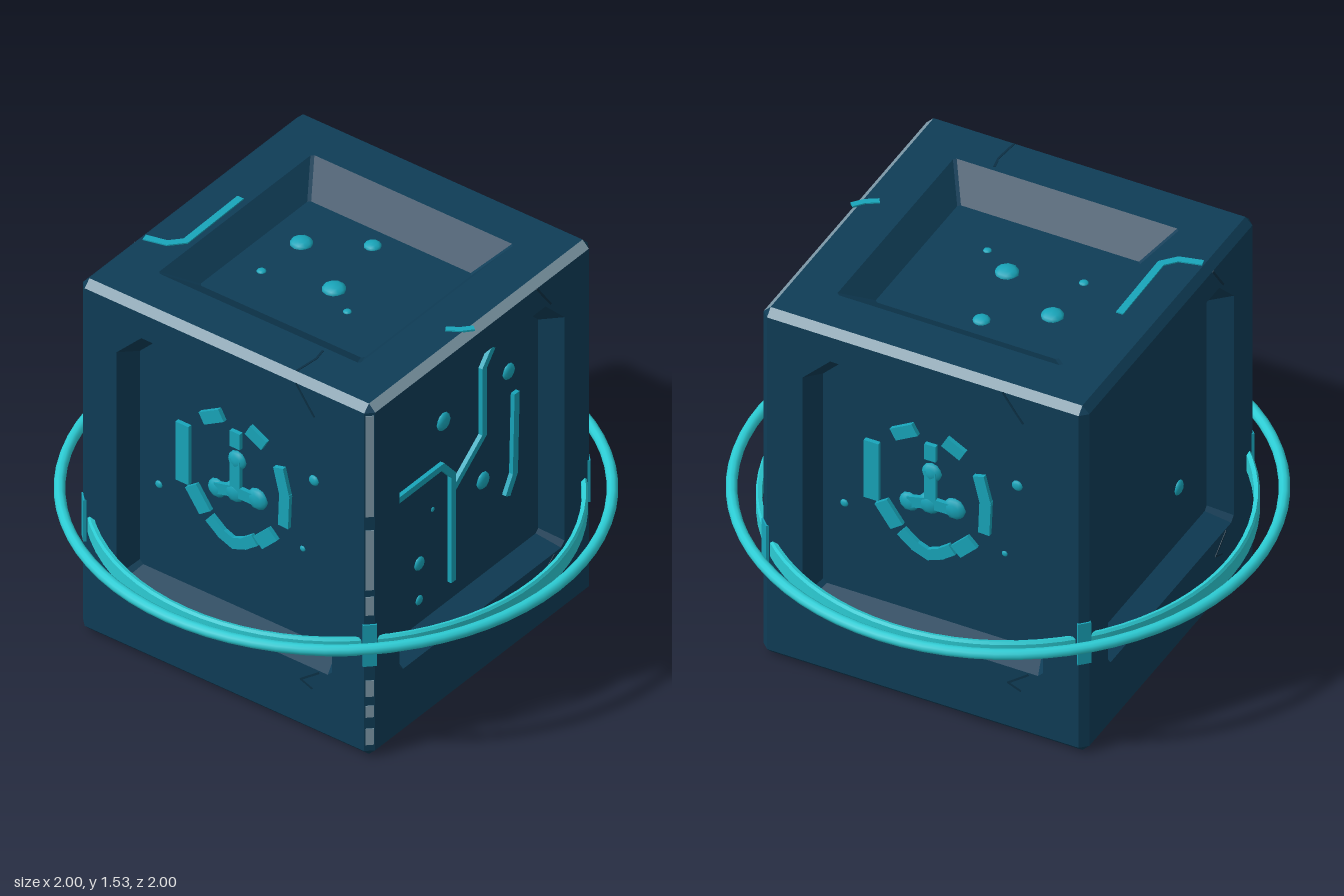
import * as THREE from 'three';
import { toCreasedNormals } from 'three/addons/utils/BufferGeometryUtils.js';

const W = 0.65, H = 1.53, B = 0.028, D = 0.09; // half width, height, edge bevel, recess depth

const mat = (name, color) => {
  const m = new THREE.MeshStandardMaterial({ color });
  m.name = name;
  return m;
};

export function createModel() {
  const stone = mat('dark blue stone', 0x0f3d57);
  const dark = mat('crack shadow', 0x0b2f44);
  const glow = mat('teal inlay', 0x18a5ba);
  const ringMat = mat('bright teal ring', 0x2cccd4);
  const worn = mat('worn edge', 0x7d99a8);
  const model = new THREE.Group();
  model.name = 'runeCube';

  const add = (parent, geo, material, name) => {
    const m = new THREE.Mesh(geo, material);
    m.name = name;
    parent.add(m);
    return m;
  };
  const vec2 = (pts) => pts.map((p) => new THREE.Vector2(p[0], p[1]));

  // Flat geometry from a list of convex 3D polygons
  const polys = (list) => {
    const out = [];
    for (const p of list)
      for (let i = 1; i < p.length - 1; i++) out.push(...p[0], ...p[i], ...p[i + 1]);
    const g = new THREE.BufferGeometry();
    g.setAttribute('position', new THREE.Float32BufferAttribute(out, 3));
    g.computeVertexNormals();
    return g;
  };

  // Rectangle with cut corners, counter-clockwise; lower and upper cuts differ
  const cutRect = (x, y0, y1, lo, hi) => [
    [-x + lo, y0], [x - lo, y0], [x, y0 + lo], [x, y1 - hi],
    [x - hi, y1], [-x + hi, y1], [-x, y1 - hi], [-x, y0 + lo],
  ];

  // One cube face: frame, sloping recess wall and sunken floor
  const makeFace = (name, y0, y1, rim, floor) => {
    const face = new THREE.Group();
    face.name = name;
    const e = W - B;
    const frame = new THREE.Shape(vec2([[-e, y0 + B], [e, y0 + B], [e, y1 - B], [-e, y1 - B]]));
    frame.holes.push(new THREE.Path(vec2(rim)));
    add(face, new THREE.ShapeGeometry(frame), stone, 'frame');
    const wall = rim.map((a, i) => {
      const j = (i + 1) % rim.length;
      return [[...a, 0], [...rim[j], 0], [...floor[j], -D], [...floor[i], -D]];
    });
    add(face, polys(wall), stone, 'recessWall');
    const base = add(face, new THREE.ShapeGeometry(new THREE.Shape(vec2(floor))), stone, 'recessFloor');
    base.position.z = -D;
    model.add(face);
    return face;
  };

  // Raised strip along a path on a face
  const strip = (face, pts, width, z, thick, material, name) => {
    for (let i = 0; i < pts.length - 1; i++) {
      const [ax, ay] = pts[i], [bx, by] = pts[i + 1];
      const len = Math.hypot(bx - ax, by - ay) + width * 0.4;
      const m = add(face, new THREE.BoxGeometry(len, width, thick), material, name);
      m.position.set((ax + bx) / 2, (ay + by) / 2, z);
      m.rotation.z = Math.atan2(by - ay, bx - ax);
    }
  };
  const inlay = (face, pts, width = 0.026) => strip(face, pts, width, -D + 0.006, 0.022, glow, 'inlay');
  const surface = (face, pts, width) => strip(face, pts, width, 0.001, 0.008, glow, 'surfaceInlay');
  const crack = (face, pts) => strip(face, pts, 0.008, 0, 0.004, dark, 'crack');
  const dots = (face, list, z = -D) => {
    for (const [x, y, r] of list) {
      const m = add(face, new THREE.IcosahedronGeometry(r, 1), glow, 'stud');
      m.position.set(x, y, z);
      m.scale.z = 0.5;
    }
  };

  // Four side faces, front first
  const rim = cutRect(0.48, 0.29, 1.395, 0.02, 0.11);
  const floor = cutRect(0.445, 0.33, 1.355, 0.015, 0.1);
  const sides = ['frontFace', 'rightFace', 'backFace', 'leftFace'].map((name, i) => {
    const f = makeFace(name, 0, H, rim, floor);
    const a = (i * Math.PI) / 2;
    f.rotation.y = a;
    f.position.set(Math.sin(a) * W, 0, Math.cos(a) * W);
    crack(f, [[0.32, 1.5], [0.37, 1.43], [0.4, 1.39]]);
    crack(f, [[0.42, 0.28], [0.34, 0.22], [0.39, 0.2]]);
    return f;
  });
  const [front, plusX, back, minusX] = sides;

  // Round glyph on front and back
  for (const f of [front, back]) {
    inlay(f, [[-0.15, 1.1], [-0.08, 1.14]], 0.05);
    inlay(f, [[0.055, 1.13], [0.11, 1.1]], 0.05);
    inlay(f, [[-0.245, 0.79], [-0.245, 1.02]], 0.058);
    inlay(f, [[0.185, 1.02], [0.21, 0.92], [0.205, 0.79]], 0.045);
    inlay(f, [[-0.2, 0.77], [-0.15, 0.7]], 0.06);
    inlay(f, [[-0.12, 0.67], [-0.07, 0.63], [-0.02, 0.61], [0.03, 0.63], [0.07, 0.66]], 0.045);
    inlay(f, [[0.1, 0.67], [0.15, 0.72]], 0.055);
    inlay(f, [[-0.01, 1.09], [-0.01, 1.04]], 0.045);
    inlay(f, [[-0.01, 0.97], [-0.01, 0.84]], 0.045);
    inlay(f, [[-0.09, 0.82], [-0.01, 0.84], [0.07, 0.84]], 0.045);
    dots(f, [[-0.1, 0.81, 0.04], [-0.01, 0.97, 0.04], [0.08, 0.84, 0.045], [-0.02, 0.83, 0.045],
      [0.33, 1.03, 0.022], [-0.36, 0.71, 0.016], [0.28, 0.71, 0.012]]);
    surface(f, [[-0.37, 0.3], [-0.335, 0.27]], 0.04);
  }

  // Branching circuit on the right-hand view face
  inlay(plusX, [[-0.39, 0.95], [-0.13, 0.95], [-0.07, 0.88], [-0.07, 0.42]]);
  inlay(plusX, [[-0.06, 0.82], [0.11, 0.95], [0.11, 1.24], [0.16, 1.3]]);
  inlay(plusX, [[0.3, 1.02], [0.29, 0.68], [0.25, 0.61]], 0.03);
  dots(plusX, [[-0.11, 1.13, 0.037], [0.27, 1.13, 0.033], [0.12, 0.74, 0.035],
    [-0.25, 0.59, 0.028], [-0.17, 0.78, 0.01], [-0.25, 0.43, 0.02]]);
  dots(minusX, [[0.23, 0.57, 0.03]]);

  // Top and bottom faces with square recesses
  const capRim = cutRect(0.45, -0.45, 0.45, 0.01, 0.01);
  const capFloor = cutRect(0.365, -0.32, 0.32, 0.01, 0.01);
  const top = makeFace('topFace', -W, W, capRim, capFloor);
  top.rotation.x = -Math.PI / 2;
  top.position.y = H;
  const bottom = makeFace('bottomFace', -W, W, capRim, capFloor);
  bottom.rotation.x = Math.PI / 2;
  dots(top, [[-0.23, 0.1, 0.043], [-0.02, 0.24, 0.033], [0.03, -0.05, 0.045], [-0.24, -0.12, 0.018], [0.15, -0.13, 0.016]]);
  surface(top, [[-0.49, 0.08], [-0.485, -0.24], [-0.53, -0.29], [-0.61, -0.31]], 0.028);
  surface(top, [[0.64, -0.04], [0.61, -0.075], [0.57, -0.1]], 0.024);
  crack(top, [[0.3, -0.62], [0.31, -0.52], [0.3, -0.47]]);

  // Bevelled edges and corners; some upper edges are worn pale
  const bevel = (pts, material, name) => {
    const [a, b, c] = pts.map((p) => new THREE.Vector3(...p));
    const n = b.clone().sub(a).cross(c.clone().sub(a));
    const outward = a.clone().add(c).multiplyScalar(0.5).sub(new THREE.Vector3(0, H / 2, 0));
    add(model, polys([n.dot(outward) < 0 ? [...pts].reverse() : pts]), material, name);
  };
  const e = W - B;
  for (const s of [-1, 1]) {
    for (const [y, yi] of [[0, B], [H, H - B]]) {
      const up = y > 0;
      bevel([[-e, yi, s * W], [e, yi, s * W], [e, y, s * e], [-e, y, s * e]], up ? worn : stone, 'edge');
      bevel([[s * W, yi, -e], [s * W, yi, e], [s * e, y, e], [s * e, y, -e]], up && s > 0 ? worn : stone, 'edge');
      for (const t of [-1, 1])
        bevel([[s * W, yi, t * e], [s * e, yi, t * W], [s * e, y, t * e]], stone, 'corner');
    }
    for (const t of [-1, 1]) {
      bevel([[s * W, B, t * e], [s * W, H - B, t * e], [s * e, H - B, t * W], [s * e, B, t * W]], stone, 'uprightEdge');
      // Glowing clip where the band meets the corner
      const clip = add(model, new THREE.BoxGeometry(0.05, 0.18, 0.012), glow, 'cornerClip');
      clip.position.set(s * (W - B / 2), 0.49, t * (W - B / 2));
      clip.rotation.y = Math.atan2(s, t);
    }
  }
  // Worn chips down the front upright edge
  for (const [y, len] of [[1.27, 0.44], [0.86, 0.26], [0.66, 0.08], [0.3, 0.07], [0.2, 0.05], [0.09, 0.07]]) {
    const chip = add(model, new THREE.BoxGeometry(0.03, len, 0.006), worn, 'edgeChip');
    chip.position.set(W - B / 2, y, W - B / 2);
    chip.rotation.y = Math.PI / 4;
  }

  // Orbiting rings: round outer hoop and flat inner band
  const hoop = add(model, new THREE.TorusGeometry(0.978, 0.021, 10, 72), ringMat, 'outerRing');
  hoop.rotation.x = Math.PI / 2;
  hoop.position.y = 0.53;
  const section = vec2([[0.87, 0.44], [0.885, 0.435], [0.892, 0.445], [0.892, 0.505],
    [0.885, 0.515], [0.87, 0.51], [0.87, 0.44]]);
  add(model, toCreasedNormals(new THREE.LatheGeometry(section, 72), 0.6), ringMat, 'innerBand');

  return model;
}
